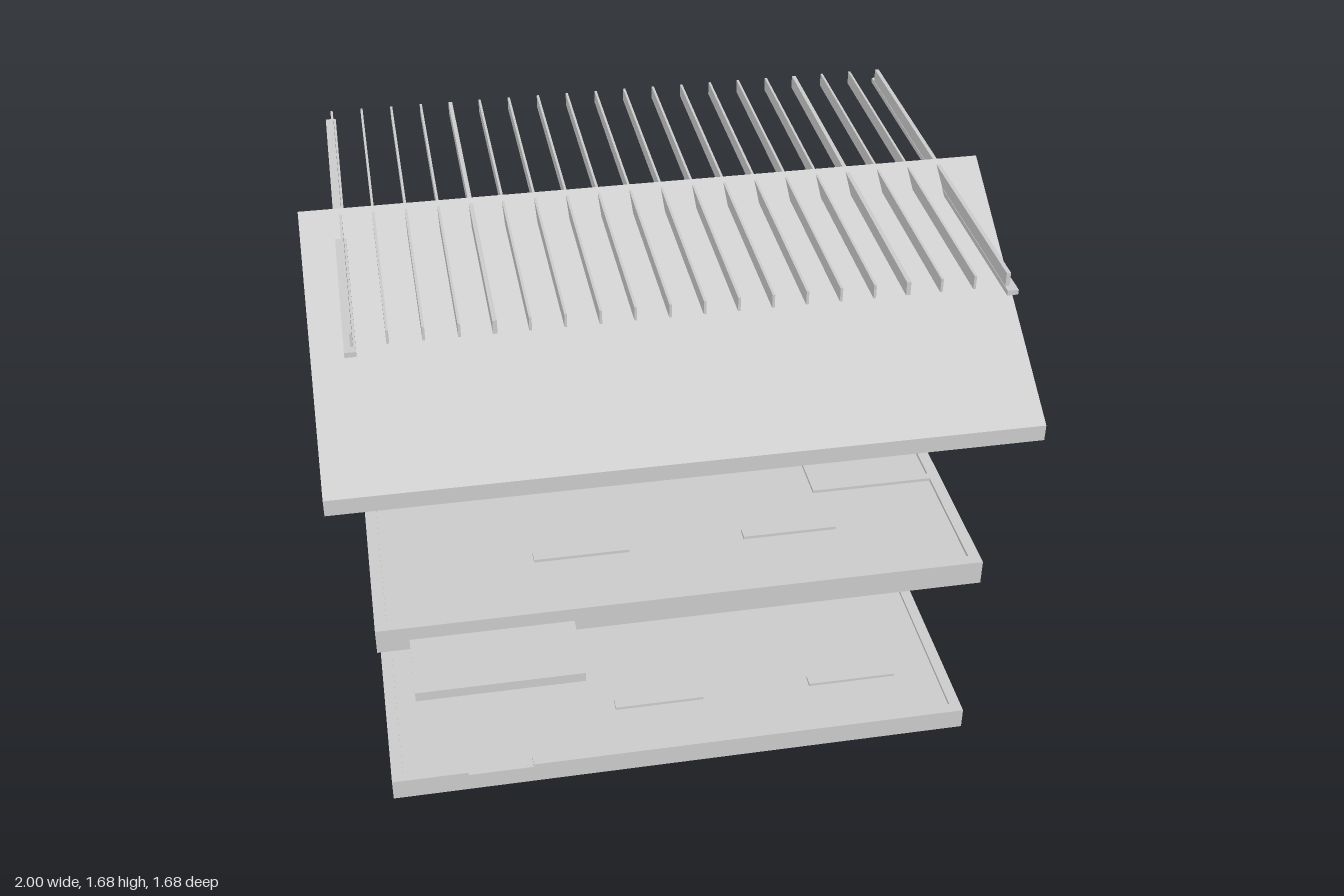
import * as THREE from 'three';

export function createModel() {
  const model = new THREE.Group();
  const grey = new THREE.MeshStandardMaterial({ color: 0xcccccc });
  grey.name = 'plain grey';

  // Box given by its limits on each axis
  function box(name, [x0, x1], [y0, y1], [z0, z1], parent = model) {
    const mesh = new THREE.Mesh(new THREE.BoxGeometry(x1 - x0, y1 - y0, z1 - z0), grey);
    mesh.position.set((x0 + x1) / 2, (y0 + y1) / 2, (z0 + z1) / 2);
    mesh.name = name;
    parent.add(mesh);
    return mesh;
  }
  // Profile of [z, y] points extruded along x
  function prism(name, points, x0, x1, parent) {
    const shape = new THREE.Shape(points.map(([z, y]) => new THREE.Vector2(-z, y)));
    const geometry = new THREE.ExtrudeGeometry(shape, { depth: x1 - x0, bevelEnabled: false });
    geometry.rotateY(Math.PI / 2).translate(x0, 0, 0);
    const mesh = new THREE.Mesh(geometry, grey);
    mesh.name = name;
    parent.add(mesh);
  }
  function group(name) {
    const g = new THREE.Group();
    g.name = name;
    model.add(g);
    return g;
  }

  const W = 0.905, FRONT = 0.615, BACK = -0.75, T = 0.035;
  const frontZ = [FRONT - T, FRONT], backZ = [BACK, BACK + T], sideZ = [BACK + T, FRONT - T];
  const sides = [[-W, -W + T], [W - T, W]];

  // Wall plates around the edge of a storey, with optional door gap in front
  function rim(name, y, parent, gap) {
    const runs = gap ? [[-W, gap[0]], [gap[1], W]] : [[-W, W]];
    runs.forEach(x => box(name, x, y, frontZ, parent));
    box(name, [-W, W], y, backZ, parent);
    sides.forEach(x => box(name, x, y, sideZ, parent));
  }
  // L-shaped partition plates
  function partition(name, y, parent) {
    box(name, [0.49, 0.515], y, [BACK + T, 0.185], parent);
    box(name, [0.515, W - T], y, [0.16, 0.185], parent);
  }

  // Ground storey
  const ground = group('groundFloor');
  box('groundSlab', [-W, W], [0, 0.06], [BACK, FRONT], ground);
  rim('groundWallPlate', [0.06, 0.07], ground, [-0.67, -0.47]);

  // Upper storey with beam and balcony
  const upper = group('upperFloor');
  box('upperSlab', [-W, W], [0.618, 0.67], [BACK, FRONT], upper);
  rim('lowerWallPlate', [0.6, 0.618], upper);
  rim('upperWallPlate', [0.67, 0.68], upper);
  partition('upperPartitionPlate', [0.67, 0.68], upper);
  box('floorBeam', [-0.9, 0.9], [0.577, 0.618], [-0.082, -0.05], upper);
  box('balcony', [-0.81, -0.33], [0.605, 0.635], [FRONT, 0.84], upper);

  // Floating window sills
  const sills = group('windowSills');
  const pair = [[-0.44, -0.167], [0.167, 0.44]];
  [[-0.212, 0.06], [0.392, 0.662]].forEach(x => box('groundFrontSill', x, [0.258, 0.267], frontZ, sills));
  for (const x of pair) {
    box('groundBackSill', x, [0.303, 0.312], backZ, sills);
    box('upperFrontSill', x, [0.87, 0.879], frontZ, sills);
    box('upperBackSill', x, [0.87, 0.879], backZ, sills);
  }
  for (const x of sides) {
    box('groundSideSill', x, [0.258, 0.267], [-0.202, 0.07], sills);
    box('upperSideSill', x, [0.87, 0.879], [-0.202, 0.07], sills);
  }

  // Stair landing block
  box('landing', [-0.86, -0.655], [0.328, 0.37], [-0.7, -0.49]);

  // Roof shell, gable walls and attic plates
  const roof = group('roof');
  const RZ = -0.067;
  prism('roofShell', [[0.705, 1.182], [0.705, 1.232], [RZ, 1.68], [-0.84, 1.232], [-0.84, 1.182], [RZ, 1.63]], -1, 1, roof);
  const gable = [[0.615, 1.234], [RZ, 1.63], [BACK, 1.234]];
  sides.forEach(([x0, x1]) => prism('gableWall', gable, x0, x1, roof));
  box('atticFrontPlate', [-W, W], [1.215, 1.234], [0.58, 0.608], roof);
  box('atticBackPlate', [-W, W], [1.215, 1.234], [-0.743, -0.712], roof);
  partition('atticPartitionPlate', [1.215, 1.234], roof);

  // Row of joists resting on two side plates
  const joists = group('ceilingJoists');
  for (let i = 0; i < 20; i++) {
    const x = -0.882 + i * 0.0927;
    const half = [4, 16, 19].includes(i) ? 0.006 : 0.0035;
    box('joist', [x - half, x + half], [1.63, 1.67], [-0.725, 0.59], joists);
  }
  sides.forEach(([x0, x1]) => box('joistPlate', [x0 + 0.002, x1 - 0.002], [1.615, 1.63], [BACK, FRONT], joists));

  return model;
}
